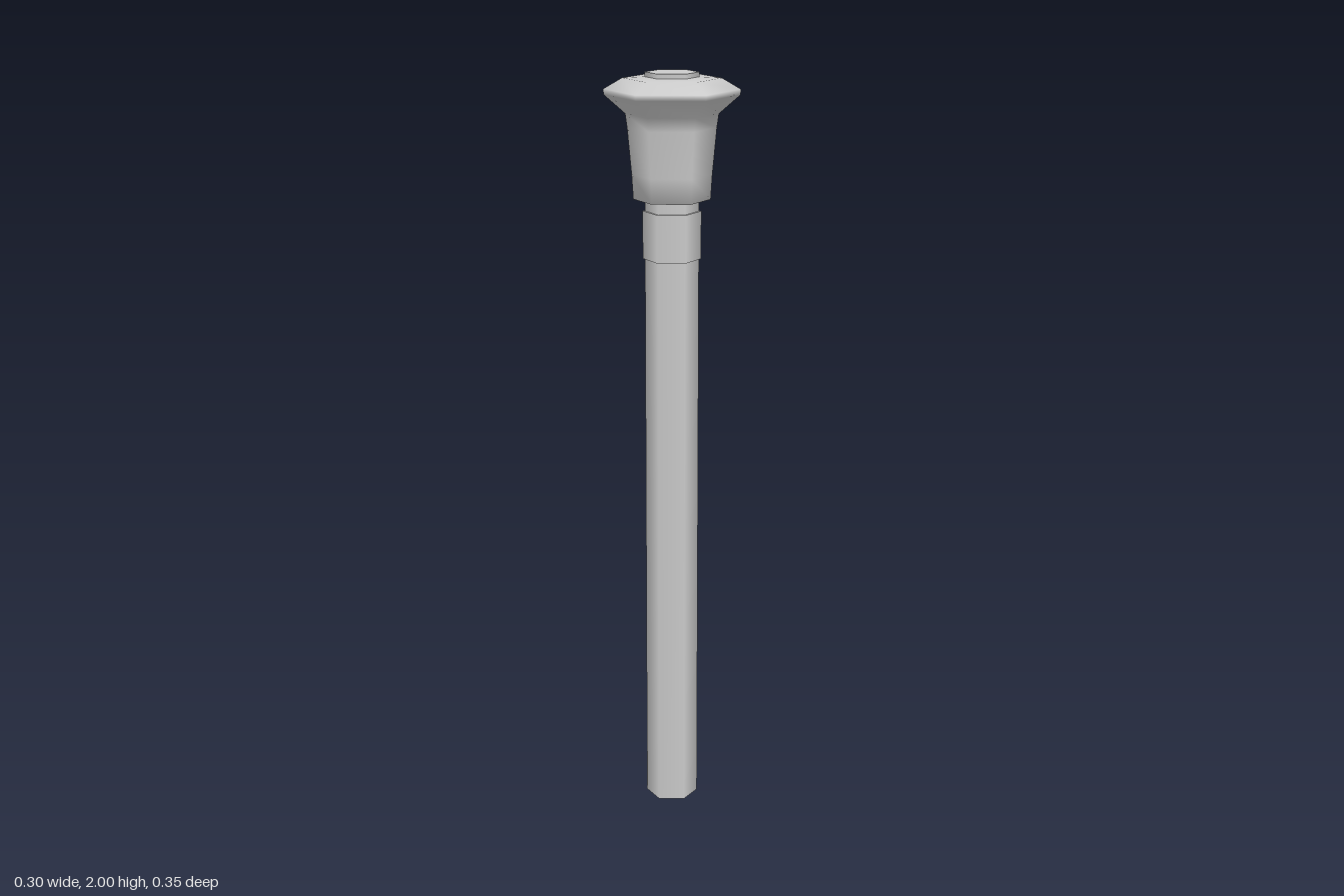
import * as THREE from 'three';

const SIDES = 6;

export function createModel() {
  const group = new THREE.Group();
  const material = new THREE.MeshStandardMaterial({ color: 0xcccccc, side: THREE.DoubleSide });

  const add = (name, geometry, y = 0) => {
    const mesh = new THREE.Mesh(geometry, material);
    mesh.name = name;
    mesh.position.y = y;
    group.add(mesh);
  };

  // Hexagonal rod running the full height, its end showing above the knob
  add('shaft', new THREE.CylinderGeometry(0.07, 0.07, 2, SIDES), 1);

  // Thin sleeve below the knob
  add('collar', new THREE.CylinderGeometry(0.076, 0.076, 0.125, SIDES), 1.582);

  // Flared knob with a wide bevelled rim
  const profile = [
    [0.065, 1.675], [0.1, 1.675], [0.104, 1.74], [0.115, 1.86], [0.12, 1.895],
    [0.175, 1.943], [0.175, 1.957], [0.127, 1.985], [0.065, 1.988],
  ].map(([r, y]) => new THREE.Vector2(r, y));
  add('knob', new THREE.LatheGeometry(profile, SIDES));

  return group;
}
